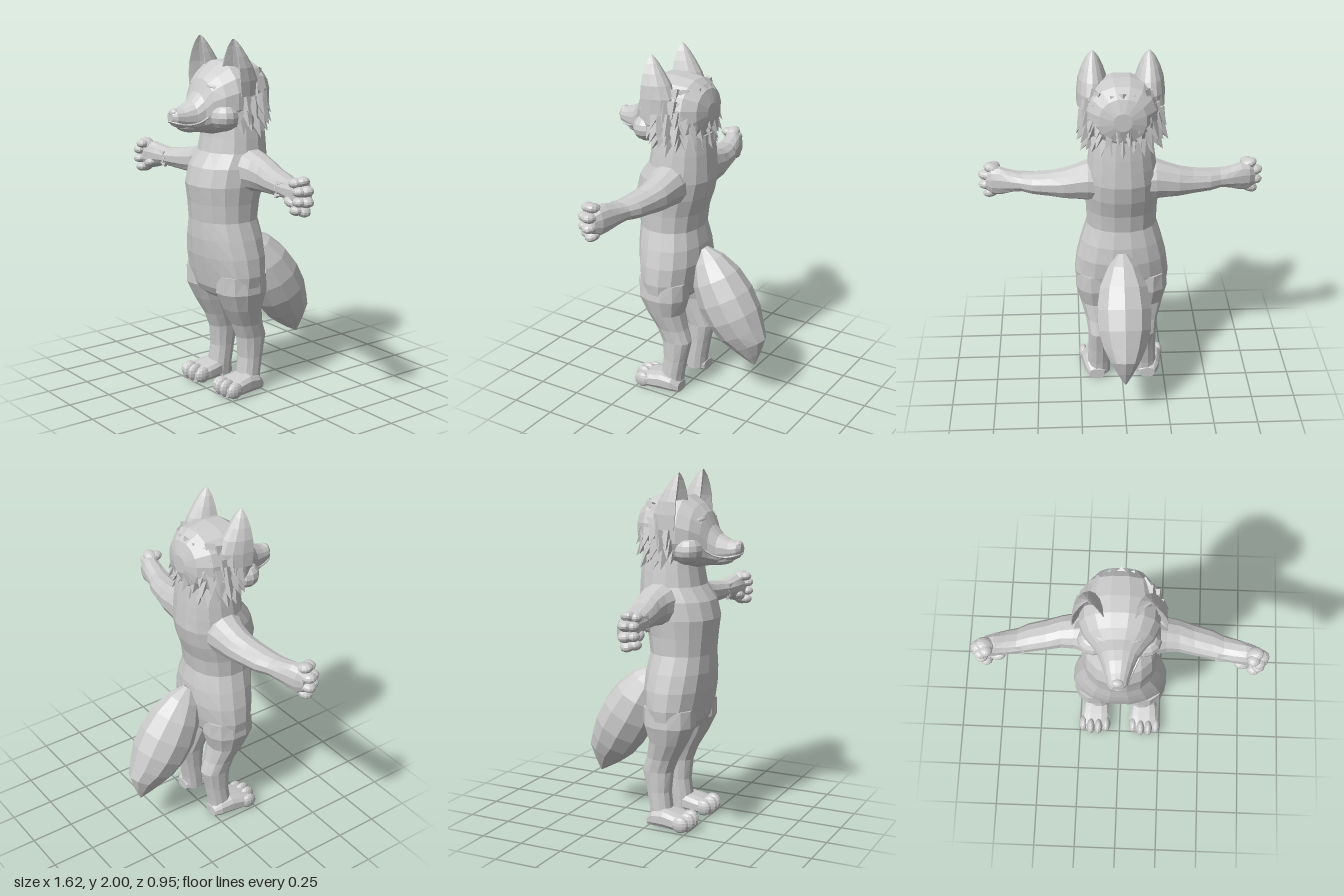
import * as THREE from 'three';

const fur = new THREE.MeshStandardMaterial({ color: 0xcccccc });
fur.name = 'light grey';

// Flat-faced mesh from any geometry
function part(name, geo, parent) {
  const g = geo.index ? geo.toNonIndexed() : geo;
  g.computeVertexNormals();
  const m = new THREE.Mesh(g, fur);
  m.name = name;
  parent.add(m);
  return m;
}

// Closed skin through rings of points, always facing outwards
function loft(rings) {
  const n = rings[0].length, pos = [], idx = [];
  rings.forEach(r => r.forEach(p => pos.push(...p)));
  for (let i = 0; i < rings.length - 1; i++) for (let j = 0; j < n; j++) {
    const a = i * n + j, b = i * n + (j + 1) % n;
    idx.push(a, b, b + n, a, b + n, a + n);
  }
  [0, rings.length - 1].forEach((k, e) => {
    const c = [0, 1, 2].map(d => rings[k].reduce((s, p) => s + p[d], 0) / n);
    pos.push(...c);
    const ci = pos.length / 3 - 1;
    for (let j = 0; j < n; j++) {
      const a = k * n + j, b = k * n + (j + 1) % n;
      if (e) idx.push(ci, a, b); else idx.push(ci, b, a);
    }
  });
  const v = i => new THREE.Vector3(pos[i * 3], pos[i * 3 + 1], pos[i * 3 + 2]);
  let vol = 0;
  for (let i = 0; i < idx.length; i += 3) vol += v(idx[i]).dot(v(idx[i + 1]).cross(v(idx[i + 2])));
  if (vol < 0) idx.reverse();
  const g = new THREE.BufferGeometry();
  g.setAttribute('position', new THREE.Float32BufferAttribute(pos, 3));
  g.setIndex(idx);
  return g;
}

// Slightly squared ellipse ring; u and v are its half axes
function ring(c, u, v, n = 16, e = 0.92) {
  return Array.from({ length: n }, (_, j) => {
    const a = (j + 0.5) / n * Math.PI * 2, s = Math.sin(a), k = Math.cos(a);
    const p = Math.sign(k) * Math.abs(k) ** e, q = Math.sign(s) * Math.abs(s) ** e;
    return c.map((x, d) => x + u[d] * p + v[d] * q);
  });
}

function blob(name, parent, p, r, rot = [0, 0, 0]) {
  const m = part(name, new THREE.SphereGeometry(1, 12, 8).scale(...r), parent);
  m.position.set(...p);
  m.rotation.set(...rot);
  return m;
}

function buildBody(g) {
  // height, half width, front z, back z
  const rows = [[0.55, 0.15, 0.2, 0.03], [0.58, 0.22, 0.24, -0.01], [0.62, 0.265, 0.262, -0.04], [0.7, 0.275, 0.28, -0.06],
    [0.8, 0.262, 0.3, -0.075], [0.9, 0.235, 0.31, -0.07], [1, 0.202, 0.31, -0.05], [1.1, 0.204, 0.32, -0.065],
    [1.2, 0.212, 0.335, -0.1], [1.3, 0.208, 0.31, -0.12], [1.38, 0.195, 0.25, -0.115], [1.46, 0.185, 0.235, -0.11], [1.56, 0.17, 0.22, -0.1]];
  part('body', loft(rows.map(([y, w, f, b]) => ring([0, y, (f + b) / 2], [w, 0, 0], [0, 0, (f - b) / 2]))), g);

  // Bushy tail, sections across a slanted axis
  const tail = [[0, 0.035, 0.035, 0.03], [0.1, 0.1, 0.1, 0.09], [0.25, 0.15, 0.14, 0.14], [0.42, 0.175, 0.16, 0.16], [0.58, 0.175, 0.15, 0.155],
    [0.72, 0.155, 0.125, 0.125], [0.83, 0.14, 0.085, 0.085], [0.92, 0.075, 0.045, 0.045], [1, 0.005, 0.005, 0.005]];
  part('tail', loft(tail.map(([t, out, inn, w]) => {
    const h = (out + inn) / 2, o = (out - inn) / 2;
    return ring([0, 0.87 - 0.65 * t + 0.48 * o, -0.06 - 0.35 * t - 0.88 * o], [w, 0, 0], [0, 0.48 * h, -0.88 * h], 10, 1);
  })), g);
}

function buildLeg(g, s) {
  // height, outer x, inner x, front z, back z
  const rows = [[0.7, 0.26, 0.04, 0.26, -0.04], [0.6, 0.27, 0.015, 0.26, -0.04], [0.5, 0.243, 0.035, 0.212, -0.01], [0.4, 0.213, 0.05, 0.155, -0.03],
    [0.32, 0.202, 0.062, 0.125, -0.058], [0.2, 0.2, 0.068, 0.112, -0.03], [0.1, 0.205, 0.068, 0.125, -0.012], [0.02, 0.205, 0.07, 0.13, -0.005]];
  part('leg', loft(rows.map(([y, o, i, f, b]) =>
    ring([s * (o + i) / 2, y, (f + b) / 2], [(o - i) / 2, 0, 0], [0, 0, (f - b) / 2], 12))), g);
  // Flat-soled foot: z, half width, height
  const foot = [[-0.01, 0.045, 0.06], [0.03, 0.07, 0.1], [0.1, 0.083, 0.115], [0.17, 0.092, 0.1], [0.23, 0.09, 0.085], [0.255, 0.07, 0.06]];
  part('foot', loft(foot.map(([z, w, h]) => ring([s * 0.152, h / 2, z], [w, 0, 0], [0, h / 2, 0], 12, 0.7))), g);
  for (let i = 0; i < 4; i++) {
    const mid = i === 1 || i === 2;
    blob('toe', g, [s * (0.085 + i * 0.048), mid ? 0.054 : 0.047, mid ? 0.235 : 0.215], [0.027, mid ? 0.053 : 0.046, 0.05]);
  }
}

function buildArm(g, s) {
  // x, y, z, half height, half depth
  const rows = [[0.1, 1.28, 0.06, 0.11, 0.11], [0.19, 1.285, 0.06, 0.115, 0.11], [0.25, 1.278, 0.055, 0.1, 0.095], [0.32, 1.268, 0.057, 0.086, 0.088],
    [0.4, 1.26, 0.075, 0.071, 0.084], [0.5, 1.256, 0.095, 0.06, 0.08], [0.56, 1.256, 0.115, 0.053, 0.07], [0.62, 1.255, 0.128, 0.063, 0.066],
    [0.68, 1.252, 0.14, 0.08, 0.06], [0.73, 1.248, 0.15, 0.08, 0.053], [0.765, 1.246, 0.16, 0.055, 0.035]];
  part('arm', loft(rows.map(([x, y, z, h, d]) => ring([s * x, y, z], [0, h, 0], [0, 0, d], 12))), g);
  // Curled fingers and thumb
  [[0.725, 1.318, 0.35], [0.757, 1.278, 0.12], [0.757, 1.225, -0.12], [0.735, 1.178, -0.4]].forEach(([x, y, r]) => {
    blob('finger', g, [s * x, y, 0.165], [0.052, 0.03, 0.042], [0, 0, s * r]);
    blob('fingertip', g, [s * (x - 0.005), y, 0.2], [0.036, 0.026, 0.036]);
  });
  blob('thumb', g, [s * 0.665, 1.21, 0.185], [0.045, 0.026, 0.03], [0, 0, -s * 0.3]);
  // Tufts inside the wrist
  for (let i = 0; i < 4; i++) {
    const t = part('wristTuft', new THREE.ConeGeometry(0.016, 0.06, 4), g);
    t.position.set(s * (0.55 + 0.012 * (i % 2)), 1.222 + i * 0.022, 0.17);
    t.rotation.set(0.5, 0, -s * 1.3);
  }
}

function buildHead(g) {
  // z, centre height, half width, half height
  const rows = [[-0.12, 1.69, 0.05, 0.05], [-0.095, 1.69, 0.13, 0.125], [-0.03, 1.685, 0.19, 0.18], [0.08, 1.675, 0.215, 0.205], [0.17, 1.67, 0.21, 0.205],
    [0.235, 1.655, 0.178, 0.175], [0.28, 1.638, 0.132, 0.148], [0.31, 1.605, 0.1, 0.11], [0.35, 1.583, 0.082, 0.085],
    [0.41, 1.58, 0.063, 0.06], [0.455, 1.585, 0.05, 0.044], [0.474, 1.59, 0.028, 0.025]];
  part('head', loft(rows.map(([z, y, w, h]) => ring([0, y, z], [w, 0, 0], [0, h, 0]))), g);
  blob('nose', g, [0, 1.612, 0.452], [0.034, 0.024, 0.025]);
  blob('lowerJaw', g, [0, 1.532, 0.36], [0.06, 0.034, 0.075], [-0.15, 0, 0]);

  // Smiling mouth line
  const half = [[0.108, 1.585, 0.3], [0.084, 1.556, 0.35], [0.06, 1.549, 0.41], [0.042, 1.558, 0.453]];
  const path = [...half, [0, 1.566, 0.473], ...half.map(([x, y, z]) => [-x, y, z]).reverse()].map(p => new THREE.Vector3(...p));
  part('mouth', new THREE.TubeGeometry(new THREE.CatmullRomCurve3(path), 24, 0.006, 5), g);

  for (const s of [1, -1]) {
    blob('eye', g, [s * 0.082, 1.687, 0.267], [0.03, 0.026, 0.03]);
    const lid = part('eyelid', new THREE.TorusGeometry(0.034, 0.008, 6, 14).scale(1.1, 0.9, 1), g);
    lid.position.set(s * 0.083, 1.687, 0.275);
    lid.rotation.set(-0.15, s * 0.5, s * -0.15);
    blob('brow', g, [s * 0.085, 1.747, 0.258], [0.05, 0.018, 0.025], [0, s * 0.4, s * -0.2]);
    blob('cheek', g, [s * 0.13, 1.585, 0.215], [0.09, 0.075, 0.08]);

    // Cupped ear: height, centre x, half width, z of rim, depth
    const ear = [[1.7, 0.165, 0.08, 0.18, 0.15], [1.78, 0.158, 0.087, 0.187, 0.165], [1.85, 0.157, 0.08, 0.187, 0.135], [1.91, 0.157, 0.06, 0.185, 0.095],
      [1.96, 0.156, 0.037, 0.18, 0.055], [1.99, 0.155, 0.016, 0.173, 0.022], [2, 0.155, 0.005, 0.17, 0.006]];
    part('ear', loft(ear.map(([y, x, w, z, d]) => Array.from({ length: 16 }, (_, j) => {
      const a = j / 16 * Math.PI * 2, back = j <= 8;
      const px = back || j === 15 || j === 9 ? w : w * 0.75;
      return [s * (x + px * Math.cos(a)), y, z - d * (back ? Math.sin(a) : -0.5 * Math.sin(a) * (j === 9 || j === 15 ? 0 : 1))];
    }))), g);
  }
}

// Rows of pointed tufts around the back and cheeks
function buildRuff(g) {
  const rows = [[1.79, 0.16, 0.14, 9, 1.2], [1.73, 0.195, 0.155, 13, 1.65], [1.67, 0.21, 0.162, 16, 1.85], [1.61, 0.215, 0.162, 17, 2], [1.55, 0.19, 0.15, 15, 1.95]];
  const up = new THREE.Vector3(0, 1, 0);
  rows.forEach(([y, rx, rz, n, span], r) => {
    for (let i = 0; i < n; i++) {
      const a = ((i + (r % 2) * 0.4) / (n - 1) * 2 - 1) * span;
      const out = new THREE.Vector3(Math.sin(a), 0, -Math.cos(a));
      const dir = out.clone().multiplyScalar(0.5).add(new THREE.Vector3(0, -0.85, 0)).normalize();
      const len = 0.1 + 0.02 * Math.sin(i * 2.4 + r);
      const t = part('furTuft', new THREE.ConeGeometry(0.042, len, 4), g);
      t.quaternion.setFromUnitVectors(up, dir);
      t.position.set(out.x * rx, y + 0.012 * Math.sin(i * 1.9 + r * 2), 0.075 + out.z * rz).addScaledVector(dir, len * 0.25);
    }
  });
}

export function createModel() {
  const model = new THREE.Group();
  const sub = name => {
    const g = new THREE.Group();
    g.name = name;
    model.add(g);
    return g;
  };
  model.name = 'standingFox';
  buildBody(sub('torsoAndTail'));
  for (const s of [1, -1]) {
    const side = s > 0 ? 'left' : 'right';
    buildLeg(sub(side + 'Leg'), s);
    buildArm(sub(side + 'Arm'), s);
  }
  buildHead(sub('headGroup'));
  buildRuff(sub('furRuff'));
  return model;
}
